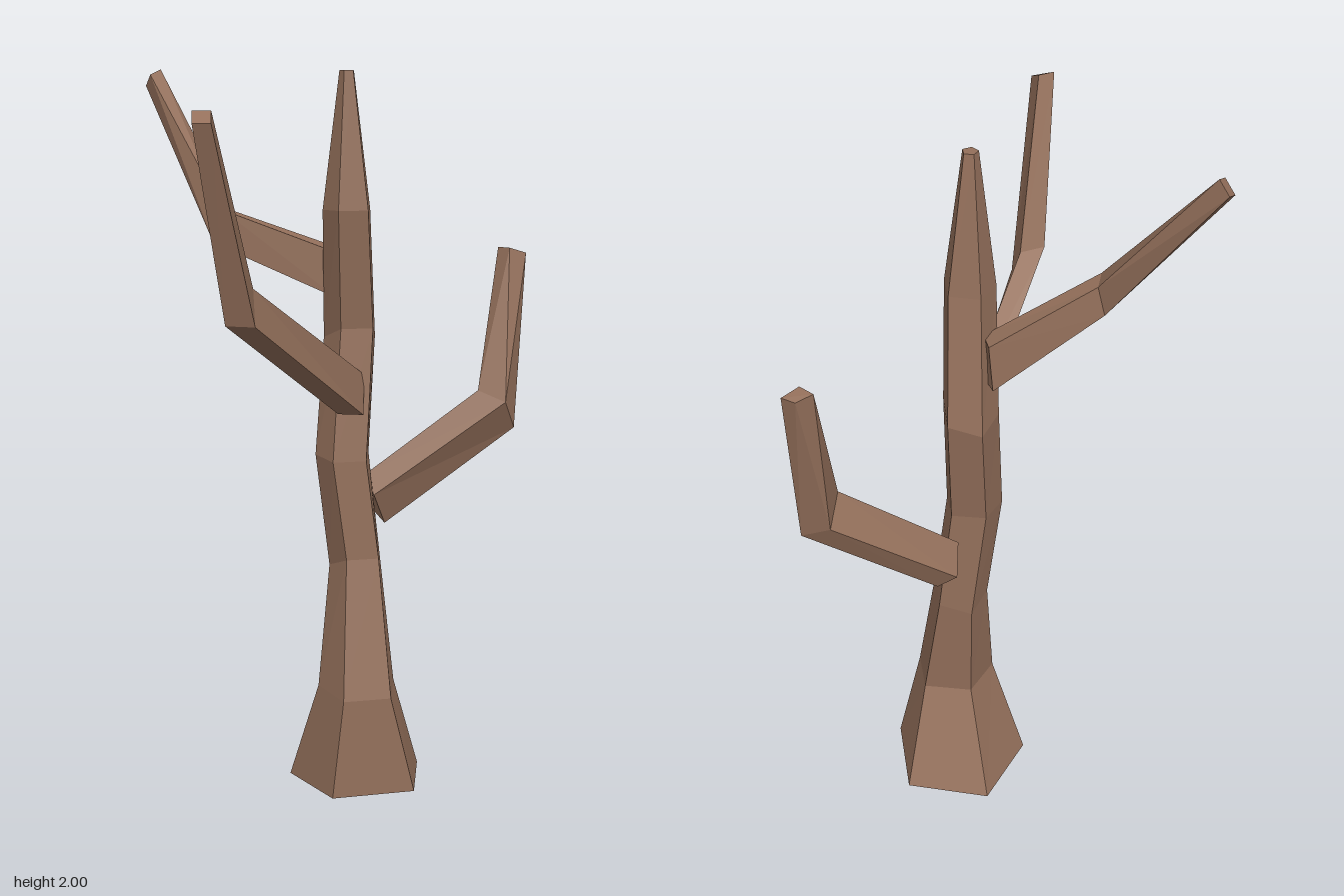
import * as THREE from 'three';

const bark = new THREE.MeshStandardMaterial({ color: 0x94705b, flatShading: true });
bark.name = 'bark';

// Skins a list of rings (corners counter-clockwise from above) and caps both ends.
function loft(name, rings) {
  const pos = [];
  const tri = (a, b, c) => pos.push(...a, ...b, ...c);
  const n = rings[0].length;
  for (let r = 0; r < rings.length - 1; r++) {
    for (let i = 0; i < n; i++) {
      const j = (i + 1) % n;
      const lo = rings[r], hi = rings[r + 1];
      tri(lo[i], lo[j], hi[j]);
      tri(lo[i], hi[j], hi[i]);
    }
  }
  const bottom = rings[0], top = rings[rings.length - 1];
  for (let i = 1; i < n - 1; i++) {
    tri(bottom[0], bottom[i + 1], bottom[i]);
    tri(top[0], top[i], top[i + 1]);
  }
  const geo = new THREE.BufferGeometry();
  geo.setAttribute('position', new THREE.Float32BufferAttribute(pos, 3));
  geo.computeVertexNormals();
  const mesh = new THREE.Mesh(geo, bark);
  mesh.name = name;
  return mesh;
}

// Five-sided trunk ring with one corner at the back; tilt leans it along z.
function trunkRing([x, y, z, radius, tilt]) {
  return Array.from({ length: 5 }, (_, i) => {
    const a = Math.PI + (i * 2 * Math.PI) / 5;
    const dz = Math.cos(a) * radius;
    return [x + Math.sin(a) * radius, y + tilt * dz, z + dz];
  });
}

export function createModel() {
  const tree = new THREE.Group();
  tree.name = 'bareTree';

  // Crooked trunk: x, y, z, radius, tilt
  tree.add(loft('trunk', [
    [0.025, 0, -0.105, 0.2, 0],
    [0.008, 0.285, -0.04, 0.115, -0.1],
    [0.015, 0.635, -0.092, 0.078, 0.35],
    [-0.02, 0.94, -0.1, 0.08, -0.1],
    [0.01, 1.275, -0.135, 0.077, 0.35],
    [-0.012, 1.62, -0.08, 0.07, 0],
    [-0.016, 1.99, -0.075, 0.021, 0],
  ].map(trunkRing)));

  // Each branch: four corners at the root, elbow and tip
  tree.add(loft('leftBranch', [
    [[0.05, 0.87, -0.155], [0.07, 0.82, -0.115], [0.11, 0.73, -0.15], [0.07, 0.78, -0.19]],
    [[0.367, 1.11, -0.095], [0.434, 1.08, -0.05], [0.475, 1.0, -0.095], [0.41, 1.03, -0.14]],
    [[0.454, 1.505, -0.193], [0.473, 1.505, -0.148], [0.524, 1.49, -0.154], [0.5, 1.49, -0.188]],
  ]));
  tree.add(loft('frontBranch', [
    [[-0.055, 1.07, -0.025], [0.016, 1.065, -0.025], [0.03, 1.17, -0.07], [-0.05, 1.18, -0.07]],
    [[-0.425, 1.36, 0.333], [-0.35, 1.355, 0.335], [-0.343, 1.445, 0.274], [-0.417, 1.445, 0.272]],
    [[-0.524, 1.85, 0.49], [-0.479, 1.85, 0.493], [-0.468, 1.88, 0.431], [-0.515, 1.88, 0.431]],
  ]));
  tree.add(loft('backBranch', [
    [[-0.03, 1.5, -0.13], [-0.01, 1.51, -0.2], [-0.02, 1.38, -0.207], [-0.03, 1.375, -0.13]],
    [[-0.343, 1.62, -0.165], [-0.305, 1.615, -0.215], [-0.325, 1.53, -0.222], [-0.367, 1.53, -0.172]],
    [[-0.495, 1.985, -0.437], [-0.462, 2.0, -0.462], [-0.47, 1.97, -0.498], [-0.503, 1.955, -0.473]],
  ]));

  return tree;
}
